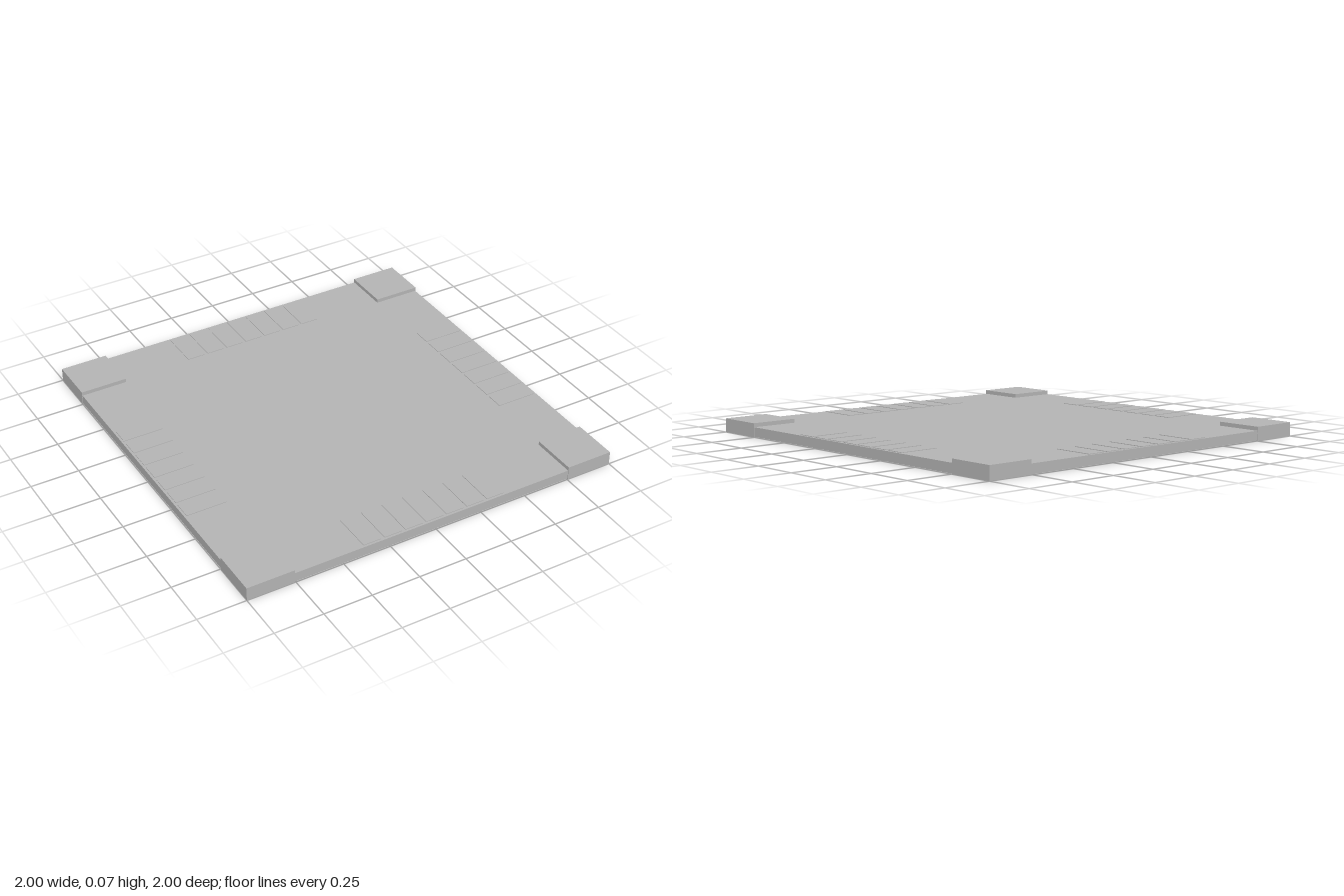
import * as THREE from 'three';

export function createModel() {
  const group = new THREE.Group();
  const grey = new THREE.MeshStandardMaterial({ color: 0xb3b3b3 });
  grey.name = 'grey';

  // Box given by its centre on the ground plane and its bottom and top heights
  function addBox(parent, name, x, z, width, depth, bottom, top) {
    const mesh = new THREE.Mesh(new THREE.BoxGeometry(width, top - bottom, depth), grey);
    mesh.position.set(x, (bottom + top) / 2, z);
    mesh.name = name;
    parent.add(mesh);
  }

  // Main slab, a hair inside the corner blocks
  addBox(group, 'board', 0, 0, 1.994, 1.994, 0.002, 0.05);

  // Raised corner squares
  const corner = 0.246;
  for (const sx of [-1, 1]) {
    for (const sz of [-1, 1]) {
      addBox(group, 'cornerBlock', sx * (1 - corner / 2), sz * (1 - corner / 2), corner, corner, 0, 0.07);
    }
  }

  // A row of seven thin spaces along each side
  const count = 7, pitch = 0.113;
  for (let side = 0; side < 4; side++) {
    const row = new THREE.Group();
    row.name = 'spaceRow';
    for (let i = 0; i < count; i++) {
      addBox(row, 'space', (i - (count - 1) / 2) * pitch, 0.88, 0.094, 0.21, 0.045, 0.053);
    }
    row.rotation.y = side * Math.PI / 2;
    group.add(row);
  }

  return group;
}
